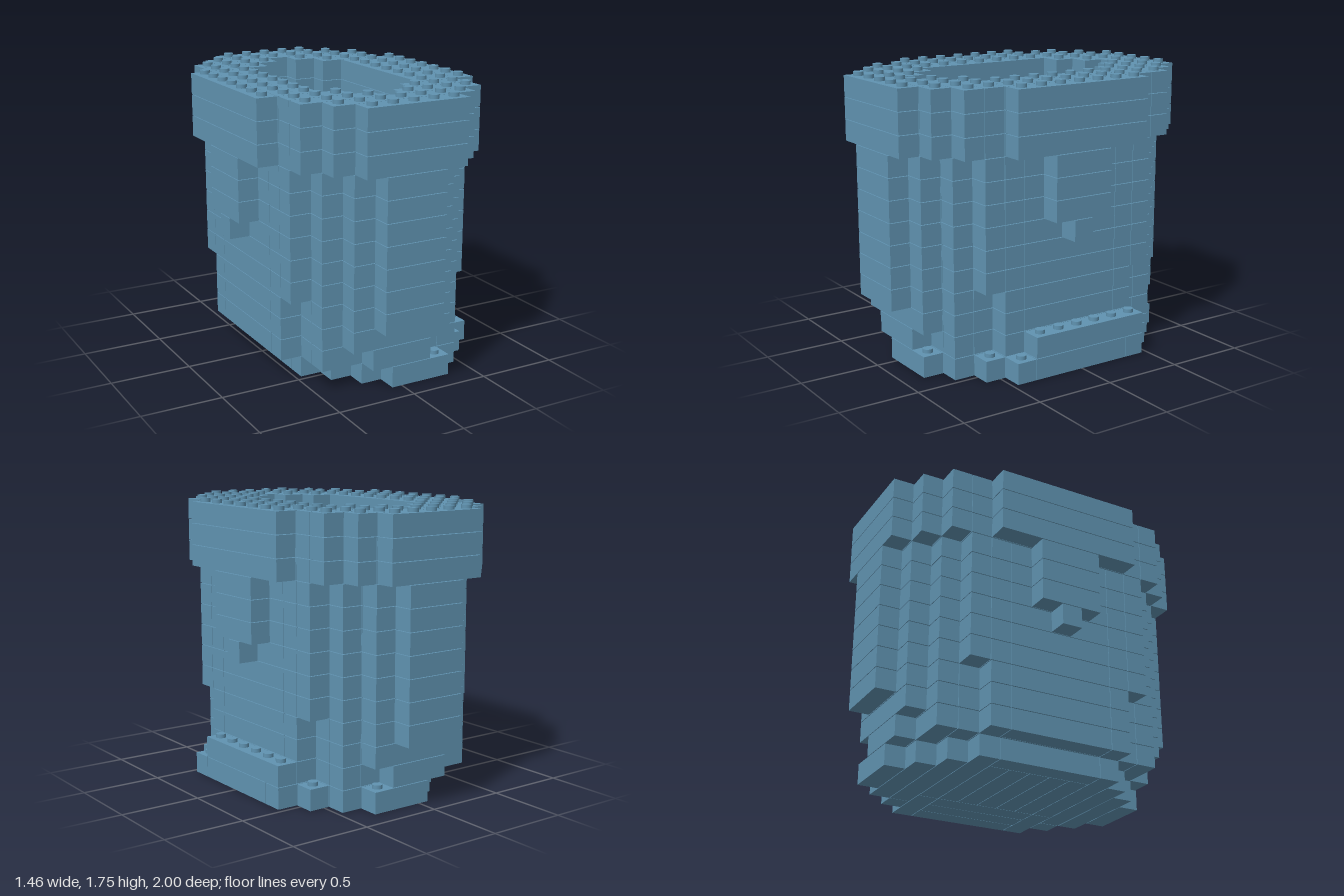
import * as THREE from 'three';
import { mergeGeometries } from 'three/addons/utils/BufferGeometryUtils.js';

const U = 2 / 15;          // stud pitch, also the brick height
const GAP = 0.004;         // seam between bricks
const HOLLOW = -1;

// Half-widths in studs for rows 0..7 away from the middle (-1 means no bricks).
const solidInside = Array(8).fill(HOLLOW);
const bodyOuter = [4, 4, 4, 4, 4, 3, 2, 1];
const bodyInner = [2, 2, 2, 1, 1, -1, -1, -1];
const body = { name: 'potWall', outer: bodyOuter, inner: bodyInner };
const bracketWide = { name: 'potWallWithBracket', outer: [5, 5, 4, 4, 4, 3, 2, 1], inner: bodyInner };
const rim = { name: 'rim', outer: [5, 5, 5, 5, 4, 4, 3, 2], inner: [2, 2, 2, 2, 1, 0, -1, -1], wall: 3 };

const courses = [
  { name: 'base', outer: [4, 4, 4, 4, 3, 2, 1, -1], inner: solidInside, shift: 1 },
  { name: 'lowerFloor', outer: [4, 4, 4, 4, 3, 3, 1, -1], inner: solidInside, bar: true },
  { name: 'upperFloor', outer: [4, 4, 4, 4, 3, 3, 2, -1], inner: solidInside },
  { name: 'wallFoot', outer: [4, 4, 4, 4, 3, 3, 2, 1], inner: [2, 2, 1, 1, 0, -1, -1, -1] },
  body, body,
  { name: 'potWallWithBracketFoot', outer: [5, 4, 4, 4, 4, 3, 2, 1], inner: bodyInner },
  bracketWide, bracketWide, bracketWide,
  rim, rim, rim,
];

// Is there a brick in this course at column j (x) and row i (z)?
function filled(course, i, j) {
  if (!course || Math.abs(i) > 7) return false;
  if (course.bar && j === 5) return i >= -3 && i <= 2;
  const row = Math.abs(i);
  const col = Math.abs(j - (course.shift || 0));
  return col <= course.outer[row] && col > course.inner[row];
}

// Bricks on the long sides run along z, the others along x.
function brickKind(course, i, j) {
  if (course.bar && j === 5) return 'bar';
  const side = Math.abs(i) <= (course.wall || 2);
  if (side && Math.abs(j) === 5) return 'outer';
  return side && Math.abs(j) >= 3 ? 'side' : 'end';
}

function layBricks(course, y) {
  const used = new Set();
  const parts = [];
  const free = (i, j, kind) => filled(course, i, j) && !used.has(i + ',' + j)
    && brickKind(course, i, j) === kind;
  for (let i = -7; i <= 7; i++) {
    for (let j = -6; j <= 6; j++) {
      if (!filled(course, i, j) || used.has(i + ',' + j)) continue;
      const kind = brickKind(course, i, j);
      let w = 1, d = 1;
      if (kind === 'end') while (w < 6 && free(i, j + w, kind)) w++;
      else while (d < 8 && free(i + d, j, kind)) d++;
      for (let a = 0; a < d; a++) for (let b = 0; b < w; b++) used.add((i + a) + ',' + (j + b));
      const box = new THREE.BoxGeometry(w * U - GAP, U - GAP, d * U - GAP);
      box.translate((j + (w - 1) / 2) * U, y + U / 2, (i + (d - 1) / 2) * U);
      parts.push(box);
    }
  }
  return mergeGeometries(parts);
}

// Studs stand wherever nothing is stacked on top.
function layStuds(course, above, y) {
  const parts = [];
  for (let i = -7; i <= 7; i++) {
    for (let j = -6; j <= 6; j++) {
      if (!filled(course, i, j) || filled(above, i, j)) continue;
      const stud = new THREE.CylinderGeometry(0.031, 0.031, 0.024, 16);
      stud.translate(j * U, y + U + 0.01, i * U);
      parts.push(stud);
    }
  }
  return parts.length ? mergeGeometries(parts) : null;
}

export function createModel() {
  const model = new THREE.Group();
  model.name = 'brickPot';
  const blue = new THREE.MeshStandardMaterial({ color: 0x6093b1 });
  blue.name = 'dustyBlue';

  courses.forEach((course, n) => {
    const group = new THREE.Group();
    group.name = course.name;
    const bricks = new THREE.Mesh(layBricks(course, n * U), blue);
    bricks.name = 'bricks';
    group.add(bricks);
    const studGeometry = layStuds(course, courses[n + 1], n * U);
    if (studGeometry) {
      const studs = new THREE.Mesh(studGeometry, blue);
      studs.name = 'studs';
      group.add(studs);
    }
    model.add(group);
  });
  return model;
}
